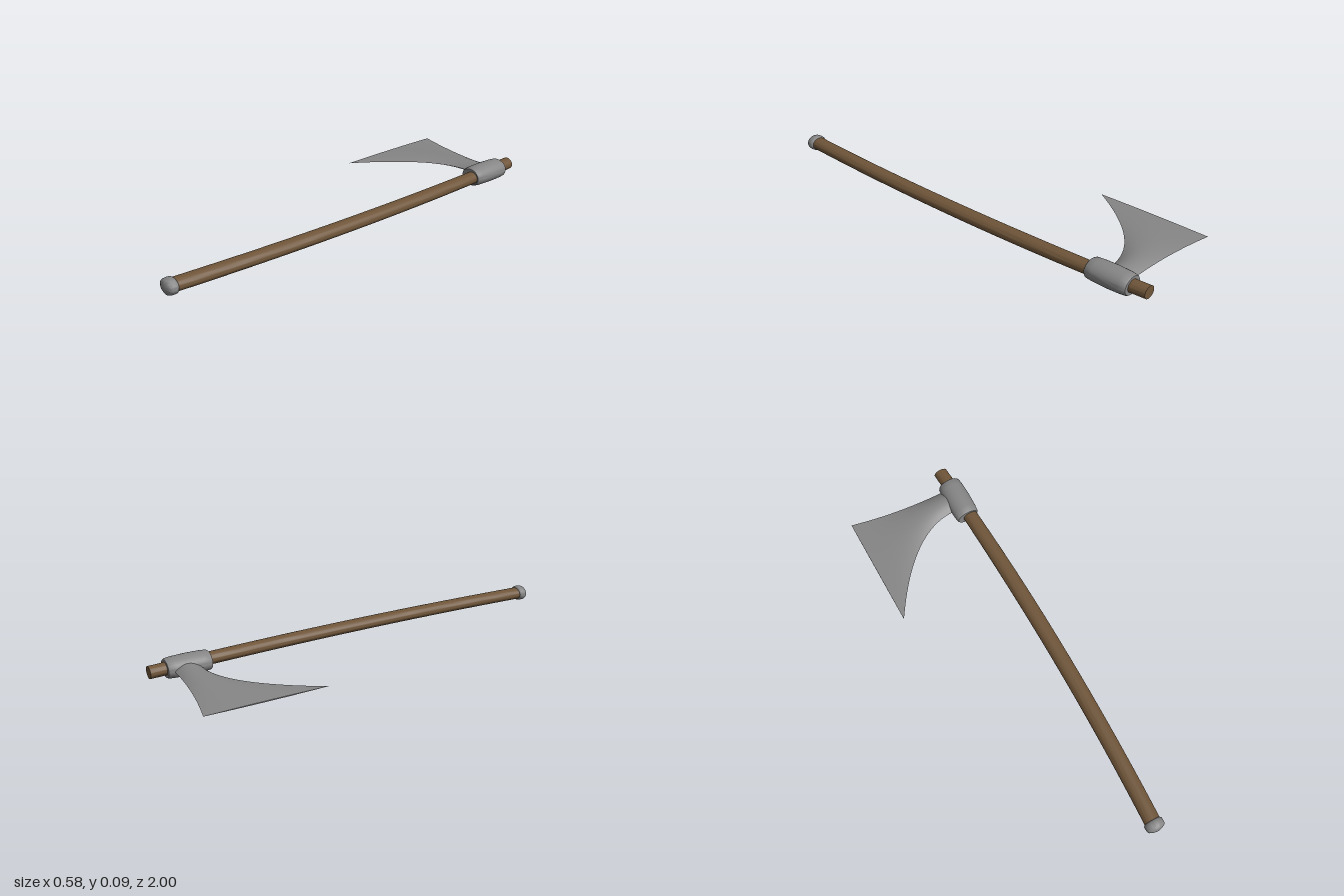
import * as THREE from 'three';
import { toCreasedNormals } from 'three/addons/utils/BufferGeometryUtils.js';

const CY = 0.05; // height of the axe's middle plane

// Skin a list of closed rings and close both ends
function loft(rings, crease = 0.7) {
  const n = rings[0].length, pos = rings.flat(2), index = [];
  for (let i = 0; i < rings.length - 1; i++) {
    for (let j = 0; j < n; j++) {
      const a = i * n + j, b = i * n + (j + 1) % n;
      index.push(a, b, b + n, a, b + n, a + n);
    }
  }
  [0, rings.length - 1].forEach((r, end) => {
    const centre = pos.length / 3;
    for (let k = 0; k < 3; k++) pos.push(rings[r].reduce((s, p) => s + p[k], 0) / n);
    for (let j = 0; j < n; j++) {
      const a = r * n + j, b = r * n + (j + 1) % n;
      index.push(centre, ...(end ? [a, b] : [b, a]));
    }
  });
  const geo = new THREE.BufferGeometry();
  geo.setAttribute('position', new THREE.Float32BufferAttribute(pos, 3));
  geo.setIndex(index);
  return toCreasedNormals(geo, crease);
}

const around = (n, fn) => Array.from({ length: n }, (_, j) => fn((j / n) * Math.PI * 2));
const ellipse = (cx, z, rx, ry, n = 32) =>
  around(n, (a) => [cx + rx * Math.cos(a), CY + ry * Math.sin(a), z]);

export function createModel() {
  const wood = new THREE.MeshStandardMaterial({ color: 0x6f5539 });
  wood.name = 'brown wood';
  const steel = new THREE.MeshStandardMaterial({ color: 0x868686 });
  steel.name = 'grey steel';

  const group = new THREE.Group();
  group.name = 'axe';
  const add = (name, geo, mat) => {
    const mesh = new THREE.Mesh(geo, mat);
    mesh.name = name;
    group.add(mesh);
  };

  // Bowed oval handle
  const handle = [];
  for (let i = 0; i <= 24; i++) {
    const z = -1 + (1.97 * i) / 24;
    const rx = 0.037 - 0.005 * Math.max(0, -z) ** 2;
    handle.push(ellipse(0.215 + 0.034 * (1 - z * z), z, rx, 0.028));
  }
  add('handle', loft(handle), wood);

  // Domed cap at the grip end: [z, radius]
  const cap = [[0.95, 0.038], [0.955, 0.043], [0.965, 0.044], [0.98, 0.043], [0.988, 0.039], [0.995, 0.025], [1, 0.004]];
  add('pommelCap', loft(cap.map(([z, r]) => ellipse(0.218, z, r, r * 0.8)), 1), steel);

  // Barrel-shaped socket around the handle: [z, radius]
  const socket = [[-0.925, 0.05], [-0.918, 0.055], [-0.89, 0.058], [-0.825, 0.06], [-0.76, 0.058], [-0.732, 0.055], [-0.725, 0.05]];
  add('socket', loft(socket.map(([z, r]) => ellipse(0.22, z, r, r * 0.79))), steel);

  // Flaring blade with a lens section that thins to the cutting edge
  const blade = [];
  for (let i = 0; i <= 24; i++) {
    const x = -0.29 + (0.48 * i) / 24;
    const u = Math.max(0, (0.16 - x) / 0.45);
    const back = -0.9 - 0.051 * u ** 2;
    const front = -0.78 + 0.38 * u ** 1.95;
    const t = 0.025 - 0.0225 * u;
    blade.push(around(24, (a) => {
      const c = Math.cos(a);
      return [x, CY + t * c * Math.abs(c), (back + front) / 2 + ((front - back) / 2) * Math.sin(a)];
    }));
  }
  add('blade', loft(blade, 0.6), steel);

  return group;
}
